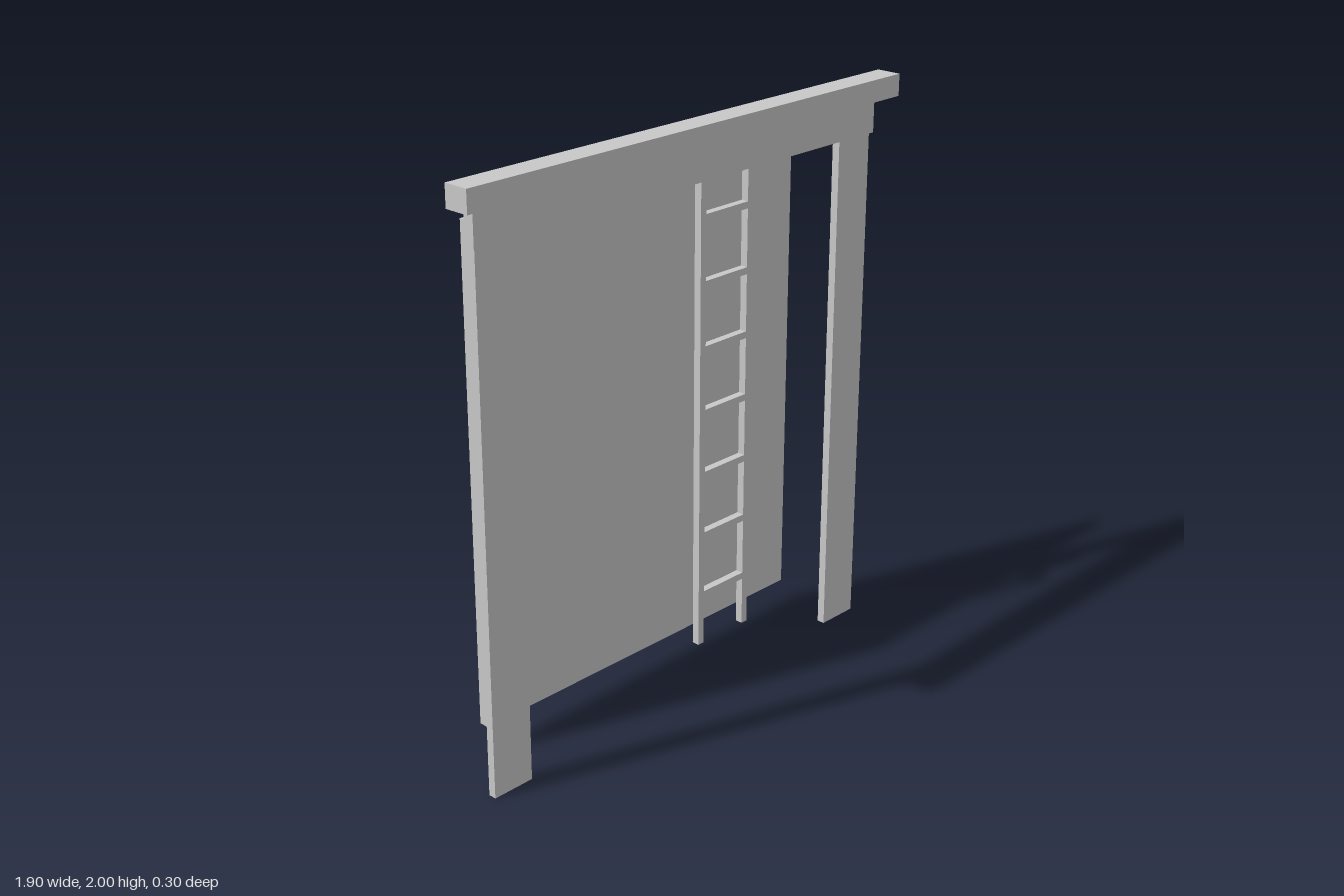
import * as THREE from 'three';

export function createModel() {
  const model = new THREE.Group();
  model.name = 'ladderWall';
  const grey = new THREE.MeshStandardMaterial({ color: 0xc8c8c8, side: THREE.DoubleSide });
  grey.name = 'light grey';

  // Hollow box given by its limits, left open at the back (-z)
  function shell(name, x0, x1, y0, y1, z0, z1, parent = model) {
    const geometry = new THREE.BoxGeometry(x1 - x0, y1 - y0, z1 - z0);
    geometry.setIndex(Array.from(geometry.index.array).slice(0, 30));
    geometry.clearGroups();
    const mesh = new THREE.Mesh(geometry, grey);
    mesh.name = name;
    mesh.position.set((x0 + x1) / 2, (y0 + y1) / 2, (z0 + z1) / 2);
    parent.add(mesh);
  }

  // Front frame: two posts running up behind the frieze, with a cornice on top
  shell('leftPost', 0.72, 0.875, 0, 1.845, 0.062, 0.09);
  shell('rightPost', -0.875, -0.72, 0, 1.845, 0.062, 0.09);
  shell('frieze', -0.885, 0.885, 1.803, 1.925, 0.062, 0.1);
  shell('cornice', -0.948, 0.948, 1.925, 2, 0.062, 0.152);

  // Back panel
  shell('backPanel', -0.72, 0.72, 0.103, 1.803, -0.152, -0.118);

  // Ladder between frame and panel
  const ladder = new THREE.Group();
  ladder.name = 'ladder';
  model.add(ladder);
  shell('rightRail', 0.148, 0.174, 0.103, 1.803, -0.027, 0, ladder);
  shell('leftRail', 0.371, 0.397, 0.103, 1.803, -0.027, 0, ladder);
  for (let i = 0; i < 7; i++) {
    const y = 0.29 + i * 0.225;
    shell('rung', 0.174, 0.371, y - 0.012, y + 0.012, -0.027, 0, ladder);
  }

  return model;
}
